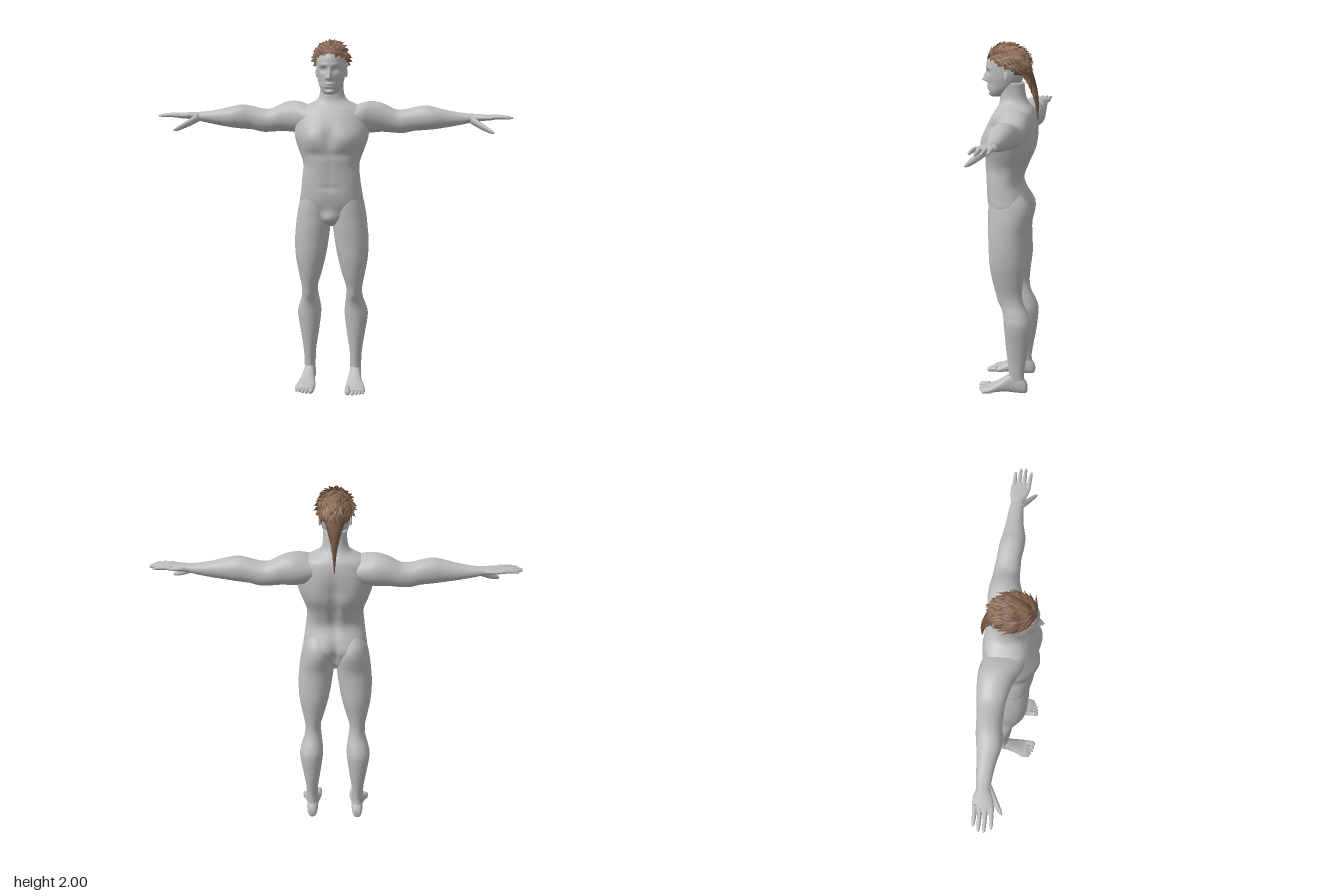
import * as THREE from 'three';
import { mergeGeometries } from 'three/addons/utils/BufferGeometryUtils.js';

const skin = new THREE.MeshStandardMaterial({ color: 0xbcbcbc });
skin.name = 'grey skin';
const hairLight = new THREE.MeshStandardMaterial({ color: 0x8c6c55 });
hairLight.name = 'brown hair';
const hairDark = new THREE.MeshStandardMaterial({ color: 0x745845 });
hairDark.name = 'dark brown hair';

// Soft bell-shaped falloff used for sculpting
const g = (a, ra, b, rb) => Math.exp(-((a / ra) ** 2) - (b / rb) ** 2);
const spline = (a, b, c, d, t) =>
  0.5 * (2 * b + (c - a) * t + (2 * a - 5 * b + 4 * c - d) * t * t + (3 * b - a - 3 * c + d) * t ** 3);

// Smooth closed skin through rows of [position on axis, uMin, uMax, vMin, vMax];
// u and v are the two axes after the main one in the cycle x, y, z.
function loft(axis, rows, { seg = 32, sub = 5, power = 2, sculpt } = {}) {
  const pos = [], idx = [], p = new THREE.Vector3();
  const row = i => rows[Math.min(Math.max(i, 0), rows.length - 1)];
  const add = (t, u, v, shape) => {
    p.setComponent(axis, t).setComponent((axis + 1) % 3, u).setComponent((axis + 2) % 3, v);
    if (shape && sculpt) sculpt(p);
    pos.push(p.x, p.y, p.z);
  };
  const n = (rows.length - 1) * sub + 1;
  const bend = c => Math.sign(c) * Math.abs(c) ** (2 / power);
  for (let i = 0; i < n; i++) {
    const k = Math.min(Math.floor(i / sub), rows.length - 2), f = i / sub - k;
    const [t, u0, u1, v0, v1] = rows[0].map((_, c) =>
      spline(row(k - 1)[c], row(k)[c], row(k + 1)[c], row(k + 2)[c], f));
    for (let j = 0; j < seg; j++) {
      const a = (j / seg) * Math.PI * 2;
      add(t, (u0 + u1) / 2 + bend(Math.cos(a)) * (u1 - u0) / 2, (v0 + v1) / 2 + bend(Math.sin(a)) * (v1 - v0) / 2, true);
      const b = (j + 1) % seg, q = i * seg;
      if (i < n - 1) idx.push(q + j, q + b, q + seg + j, q + b, q + seg + b, q + seg + j);
    }
  }
  const last = rows.length - 1, base = (n - 1) * seg;
  for (const r of [rows[0], rows[last]]) add(r[0], (r[1] + r[2]) / 2, (r[3] + r[4]) / 2, false);
  for (let j = 0; j < seg; j++) {
    const b = (j + 1) % seg;
    idx.push(n * seg, b, j, n * seg + 1, base + j, base + b);
  }
  const geo = new THREE.BufferGeometry();
  geo.setAttribute('position', new THREE.Float32BufferAttribute(pos, 3));
  geo.setIndex(idx);
  geo.computeVertexNormals();
  return geo;
}

function mirrored(geo) {
  const m = geo.clone().scale(-1, 1, 1), a = m.index.array;
  for (let i = 0; i < a.length; i += 3) [a[i], a[i + 1]] = [a[i + 1], a[i]];
  m.computeVertexNormals();
  return m;
}

// Tapered finger or toe: start and end are [axis position, u, v]
function digit(axis, s, e, r0, r1, bow = 0) {
  const rows = [0, 0.25, 0.5, 0.75, 0.9, 0.97, 1].map((f, i) => {
    const r = (r0 + (r1 - r0) * f) * [1, 1, 1.02, 1, 0.85, 0.5, 0.12][i];
    const [t, u, v] = s.map((c, k) => c + (e[k] - c) * f);
    const h = u + bow * Math.sin(f * Math.PI);
    return [t, h - r, h + r, v - r, v + r];
  });
  return loft(axis, rows, { seg: 12, sub: 2 });
}

// Trunk muscles
function sculptTrunk(p) {
  const x = Math.abs(p.x), y = p.y;
  if (p.z > 0) {
    p.z += 0.02 * g(x - 0.09, 0.07, y - 1.46, 0.06) - 0.01 * g(x, 0.018, y - 1.46, 0.06)
      - 0.008 * g(x - 0.07, 0.07, y - 1.375, 0.02) - 0.004 * g(x, 0.012, y - 1.26, 0.09)
      - 0.005 * g(x, 0.07, y - 1.19, 0.014) + 0.02 * g(x, 0.035, y - 1.02, 0.04);
  } else {
    p.z += 0.02 * g(x, 0.022, y - 1.36, 0.17) + 0.03 * g(x, 0.016, y - 1.05, 0.07)
      - 0.012 * g(x - 0.08, 0.055, y - 1.1, 0.05) - 0.012 * g(x - 0.1, 0.05, y - 1.46, 0.08);
  }
}

// Kneecap and buttock
function sculptLeg(p) {
  if (p.z > -0.03) p.z += 0.008 * g(p.x - 0.128, 0.03, p.y - 0.555, 0.03);
  else p.z -= 0.008 * g(p.x - 0.085, 0.06, p.y - 1.07, 0.06);
}

// Eye sockets, brow, nose, lips and chin
function sculptFace(p) {
  if (p.z < 0.05) return;
  const x = Math.abs(p.x), y = p.y;
  const t = THREE.MathUtils.clamp((1.855 - y) / 0.065, 0, 1);
  const under = y < 1.789 ? Math.exp(-(((y - 1.789) / 0.007) ** 2)) : 1;
  p.z += 0.032 * t * under * Math.exp(-((x / (0.008 + 0.007 * t)) ** 2))
    - 0.013 * g(x - 0.034, 0.019, y - 1.834, 0.014) + 0.005 * g(x - 0.03, 0.03, y - 1.86, 0.01)
    + 0.008 * g(x, 0.024, y - 1.757, 0.006) + 0.007 * g(x, 0.022, y - 1.742, 0.006)
    - 0.005 * g(x, 0.025, y - 1.73, 0.006) + 0.006 * g(x, 0.022, y - 1.713, 0.01)
    - 0.006 * g(x - 0.055, 0.02, y - 1.77, 0.025);
}

const sym = rows => rows.map(([y, back, front, half]) => [y, back, front, -half, half]);

const trunkRows = sym([
  [0.965, -0.04, 0.05, 0.02], [1.0, -0.075, 0.09, 0.08], [1.05, -0.1, 0.1, 0.15], [1.1, -0.114, 0.116, 0.178],
  [1.16, -0.104, 0.125, 0.172], [1.24, -0.075, 0.127, 0.162], [1.32, -0.1, 0.132, 0.158], [1.4, -0.132, 0.14, 0.185],
  [1.47, -0.14, 0.137, 0.206], [1.53, -0.148, 0.126, 0.204], [1.58, -0.147, 0.106, 0.195], [1.62, -0.138, 0.084, 0.178],
  [1.645, -0.124, 0.068, 0.13], [1.67, -0.103, 0.058, 0.083], [1.71, -0.086, 0.054, 0.066], [1.78, -0.077, 0.052, 0.063]]);

const headRows = sym([
  [1.7, 0.05, 0.1, 0.018], [1.711, 0.02, 0.112, 0.04], [1.74, -0.02, 0.12, 0.06], [1.78, -0.06, 0.125, 0.072],
  [1.82, -0.077, 0.126, 0.079], [1.86, -0.085, 0.13, 0.081], [1.9, -0.085, 0.126, 0.08], [1.94, -0.07, 0.1, 0.068],
  [1.97, -0.03, 0.05, 0.03]]);

const legRows = [
  [0.06, -0.112, -0.015, 0.107, 0.165], [0.12, -0.106, -0.018, 0.103, 0.168], [0.2, -0.118, -0.01, 0.1, 0.172],
  [0.3, -0.135, 0, 0.085, 0.187], [0.42, -0.145, 0.01, 0.07, 0.205], [0.48, -0.13, 0.016, 0.072, 0.195],
  [0.54, -0.102, 0.032, 0.08, 0.177], [0.6, -0.092, 0.056, 0.083, 0.175], [0.68, -0.098, 0.078, 0.06, 0.19],
  [0.78, -0.11, 0.095, 0.035, 0.207], [0.88, -0.108, 0.1, 0.018, 0.21], [0.96, -0.108, 0.104, 0.008, 0.204],
  [1.02, -0.118, 0.104, 0.003, 0.197], [1.08, -0.123, 0.105, 0.002, 0.186], [1.13, -0.112, 0.1, 0.012, 0.173],
  [1.19, -0.07, 0.08, 0.04, 0.145]];

const footRows = [
  [-0.127, 0.122, 0.15, 0.015, 0.045], [-0.118, 0.11, 0.161, 0.003, 0.07], [-0.09, 0.103, 0.167, 0, 0.105],
  [-0.05, 0.102, 0.168, 0, 0.122], [-0.015, 0.1, 0.171, 0.002, 0.108], [0.03, 0.094, 0.182, 0.002, 0.075],
  [0.08, 0.087, 0.2, 0, 0.045], [0.11, 0.09, 0.203, 0, 0.034], [0.125, 0.1, 0.196, 0.004, 0.026]];

const armRows = [
  [0.05, 1.54, 1.6, -0.1, 0.06], [0.11, 1.505, 1.63, -0.13, 0.082], [0.17, 1.487, 1.652, -0.147, 0.068],
  [0.22, 1.484, 1.66, -0.152, 0.04],
  [0.28, 1.488, 1.648, -0.149, 0.017], [0.35, 1.483, 1.615, -0.141, 0.002], [0.4, 1.482, 1.614, -0.136, 0],
  [0.46, 1.495, 1.628, -0.13, 0], [0.52, 1.5, 1.637, -0.125, 0.008], [0.58, 1.507, 1.625, -0.115, 0.008],
  [0.66, 1.52, 1.607, -0.105, -0.01], [0.74, 1.536, 1.595, -0.097, -0.02], [0.79, 1.547, 1.592, -0.091, -0.022],
  [0.83, 1.553, 1.59, -0.1, -0.006], [0.87, 1.557, 1.587, -0.1, 0.004], [0.9, 1.562, 1.584, -0.094, 0.002],
  [0.907, 1.567, 1.58, -0.085, -0.006]];

// Spiky locks over the scalp and down the tail
function buildHair(group) {
  let seed = 7;
  const rand = () => (seed = (seed * 16807) % 2147483647) / 2147483647;
  const piles = [[], []];
  const lock = (at, dir, normal, r, len, i) => {
    const y = dir.clone().normalize();
    const x = new THREE.Vector3().crossVectors(y, normal).normalize();
    const m = new THREE.Matrix4().makeBasis(x, y, new THREE.Vector3().crossVectors(x, y)).setPosition(at);
    const cone = new THREE.ConeGeometry(r, len, 4).scale(1, 1, 0.4).translate(0, len * 0.4, 0).applyMatrix4(m);
    const flat = cone.toNonIndexed();
    flat.computeVertexNormals();
    piles[i % 3 ? 0 : 1].push(flat);
  };
  const radii = new THREE.Vector3(0.09, 0.104, 0.116), centre = new THREE.Vector3(0, 1.875, 0.013);
  const tilt = -0.5, count = 190;
  for (let i = 0; i < count; i++) {
    const h = 1 - (i / count) * 1.06, a = i * 2.39996, s = Math.sqrt(1 - h * h);
    const n = new THREE.Vector3(Math.cos(a) * s, h, Math.sin(a) * s).applyAxisAngle(new THREE.Vector3(1, 0, 0), tilt);
    const at = n.clone().multiply(radii).add(centre);
    n.divide(radii).normalize();
    const flow = new THREE.Vector3((rand() - 0.5) * 1.2, -0.35, -1);
    flow.addScaledVector(n, -flow.dot(n)).normalize().addScaledVector(n, 0.2 + rand() * 0.3);
    lock(at, flow, n, 0.017 + rand() * 0.005, 0.042 + rand() * 0.02, i);
  }
  for (let i = 0; i < 60; i++) {
    const f = i / 60, a = i * 2.4, w = 0.05 * (1 - f) ** 1.5 + 0.003;
    const n = new THREE.Vector3(Math.cos(a), 0, Math.sin(a) * 0.6 - 0.2).normalize();
    const at = new THREE.Vector3(n.x * w, 1.86 - f * 0.23, -0.082 - 0.068 * Math.sin(f * 1.57) + n.z * w * 0.4);
    lock(at, new THREE.Vector3(-n.x * 0.15, -1, -0.1 * (1 - f)), n, 0.013 - f * 0.007, 0.06, i);
  }
  const cap = new THREE.SphereGeometry(1, 28, 12, 0, Math.PI * 2, 0, Math.PI * 0.52)
    .rotateX(tilt).scale(radii.x, radii.y, radii.z).translate(centre.x, centre.y, centre.z);
  const tail = loft(1, sym([
    [1.58, -0.156, -0.15, 0.002], [1.66, -0.159, -0.138, 0.009], [1.74, -0.151, -0.112, 0.019],
    [1.8, -0.136, -0.08, 0.038], [1.86, -0.115, -0.04, 0.058], [1.9, -0.095, -0.02, 0.05]]), { seg: 12, sub: 3 });
  const add = (name, geo, mat) => {
    const mesh = new THREE.Mesh(geo, mat);
    mesh.name = name;
    group.add(mesh);
  };
  add('hairCap', cap, hairDark);
  add('hairTail', tail, hairDark);
  add('hairLocks', mergeGeometries(piles[0]), hairLight);
  add('darkHairLocks', mergeGeometries(piles[1]), hairDark);
}

export function createModel() {
  const model = new THREE.Group();
  model.name = 'figure';
  const add = (name, geo) => {
    const mesh = new THREE.Mesh(geo, skin);
    mesh.name = name;
    model.add(mesh);
  };
  const pair = (name, geo) => {
    add('left' + name, geo);
    add('right' + name, mirrored(geo));
  };

  add('trunk', loft(1, trunkRows, { seg: 72, sub: 6, power: 2.3, sculpt: sculptTrunk }));
  add('head', loft(1, headRows, { seg: 96, sub: 10, power: 2.1, sculpt: sculptFace }));
  pair('Eye', new THREE.SphereGeometry(0.013, 16, 12).translate(0.034, 1.833, 0.095));
  pair('Ear', new THREE.SphereGeometry(1, 16, 12).scale(0.007, 0.027, 0.015).rotateY(-0.3).translate(0.081, 1.818, 0.008));

  // Legs, feet and toes
  pair('Leg', loft(1, legRows, { seg: 40, power: 2.1, sculpt: sculptLeg }));
  pair('Foot', loft(2, footRows, { power: 2.3 }));
  [[0.104, 0.163, 0.017], [0.131, 0.16, 0.012], [0.152, 0.153, 0.011], [0.172, 0.144, 0.0105], [0.19, 0.134, 0.01]]
    .forEach(([x, z, r], i) => pair('Toe' + (i + 1), digit(2, [z - 0.06, x, r + 0.006], [z, x + 0.002, r], r, r * 0.9)));

  // Arms with palms, fingers and thumbs
  pair('Arm', loft(0, armRows, { seg: 36, power: 2.1 }));
  [[-0.007, 0.002, 0.98], [-0.034, -0.03, 1.0], [-0.06, -0.057, 0.997], [-0.084, -0.084, 0.975]]
    .forEach(([z0, z1, x], i) => pair('Finger' + (i + 1), digit(0, [0.87, 1.573, z0], [x, 1.571, z1], 0.0125, 0.008, 0.004)));
  pair('Thumb', digit(0, [0.765, 1.566, -0.045], [0.893, 1.494, 0.042], 0.026, 0.011, -0.004));

  const hair = new THREE.Group();
  hair.name = 'hair';
  buildHair(hair);
  model.add(hair);
  return model;
}
